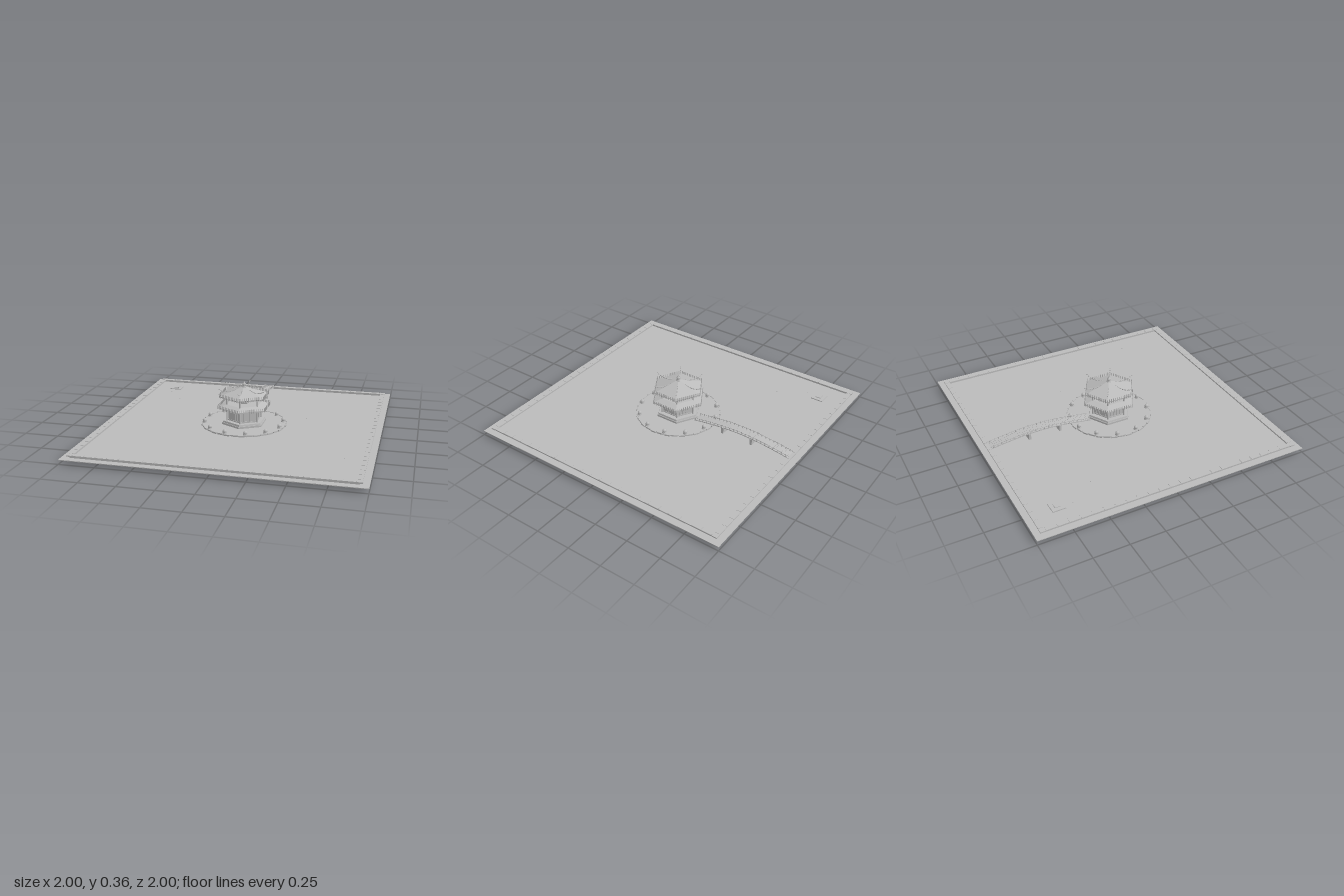
import * as THREE from 'three';

export function createModel() {
  const root = new THREE.Group();
  const stone = new THREE.MeshStandardMaterial({ color: 0xbbbbbb });
  stone.name = 'grey stone';
  const flat = (g) => { const n = g.toNonIndexed(); n.computeVertexNormals(); return n; };

  function add(name, geo, x = 0, y = 0, z = 0, parent = root) {
    const m = new THREE.Mesh(geo, stone);
    m.name = name;
    m.position.set(x, y, z);
    parent.add(m);
    return m;
  }
  const box = (name, w, h, d, x, y, z, parent) => add(name, new THREE.BoxGeometry(w, h, d), x, y, z, parent);
  // Six-sided prism or frustum with corners on the z axis
  const hex = (name, rTop, rBottom, y0, y1) =>
    add(name, flat(new THREE.CylinderGeometry(rTop, rBottom, y1 - y0, 6)), 0, (y0 + y1) / 2, 0);
  const corner = (i, r) => [r * Math.sin(i * Math.PI / 3), r * Math.cos(i * Math.PI / 3)];
  // Repeats a callback along the edges of a hexagon
  function alongHex(r, perSide, fn) {
    for (let i = 0; i < 6; i++) {
      const [ax, az] = corner(i, r), [bx, bz] = corner(i + 1, r);
      for (let k = 0; k < perSide; k++) {
        const t = k / perSide;
        fn(ax + (bx - ax) * t, az + (bz - az) * t, i * Math.PI / 3 + Math.PI / 6);
      }
    }
  }

  // Pond surface
  box('pond', 2, 0.005, 2, 0, 0.0305, 0);

  // Enclosing wall with overhanging coping
  for (const s of [-1, 1]) {
    box('sideWall', 0.02, 0.012, 1.88, s * 0.94, 0.039, 0);
    box('sideCoping', 0.034, 0.008, 1.92, s * 0.94, 0.047, 0);
    box('endWall', 1.88, 0.012, 0.02, 0, 0.039, s * 0.942);
    box('endCoping', 1.92, 0.008, 0.034, 0, 0.047, s * 0.942);
    for (let i = 0; i < 24; i++) {
      const p = -0.92 + i * 0.08;
      box('copingTile', 0.03, 0.002, 0.005, s * 0.94, 0.052, p);
      box('copingTile', 0.005, 0.002, 0.03, p, 0.052, s * 0.942);
    }
  }

  // Round island, edge stones and ball posts
  add('island', new THREE.CylinderGeometry(0.305, 0.305, 0.008, 48), 0, 0.037, 0);
  for (let i = 0; i < 36; i++) {
    const a = i * Math.PI / 18;
    const r = 0.306 + (i % 2) * 0.004;
    const m = box('edgeStone', 0.044, 0.012, 0.008, r * Math.sin(a), 0.038, r * Math.cos(a));
    m.rotation.y = a;
  }
  for (let i = 0; i < 12; i++) {
    const a = (i + 0.5) * Math.PI / 6;
    const x = 0.288 * Math.sin(a), z = 0.288 * Math.cos(a);
    add('postBase', new THREE.CylinderGeometry(0.013, 0.017, 0.014, 10), x, 0.047, z);
    add('postBall', new THREE.SphereGeometry(0.015, 10, 8), x, 0.057, z);
  }

  // Plinth and lower storey
  hex('plinthStep', 0.168, 0.168, 0.04, 0.055);
  hex('plinth', 0.158, 0.162, 0.055, 0.068);
  hex('lowerWalls', 0.122, 0.122, 0.068, 0.165);
  for (let i = 0; i < 6; i++) {
    const [x, z] = corner(i, 0.13);
    add('column', new THREE.CylinderGeometry(0.006, 0.006, 0.18, 10), x, 0.158, z);
  }
  alongHex(0.123, 5, (x, z, a) => {
    box('wallBatten', 0.004, 0.085, 0.005, x, 0.113, z).rotation.y = a;
  });
  for (const y of [0.076, 0.148]) hex('wallRail', 0.127, 0.127, y - 0.003, y + 0.003);

  // Lower roof with eave pickets
  hex('lowerEave', 0.194, 0.194, 0.162, 0.170);
  hex('lowerRoof', 0.132, 0.194, 0.170, 0.189);
  alongHex(0.199, 13, (x, z, a) => {
    box('lowerPicket', 0.005, 0.03, 0.004, x, 0.173, z).rotation.y = a;
  });

  // Altar seen between the upper columns
  box('altar', 0.06, 0.03, 0.06, 0, 0.202, 0);

  // Upper roof, pickets and corner ridges
  hex('upperBeam', 0.135, 0.135, 0.234, 0.247);
  hex('upperEave', 0.186, 0.182, 0.245, 0.252);
  add('upperRoof', flat(new THREE.ConeGeometry(0.186, 0.063, 6)), 0, 0.2835, 0);
  alongHex(0.188, 12, (x, z, a) => {
    box('upperPicket', 0.005, 0.032, 0.004, x, 0.257, z).rotation.y = a;
  });
  for (let i = 0; i < 6; i++) {
    for (let k = 0; k < 10; k++) {
      const t = k / 9;
      const [x, z] = corner(i, 0.06 + 0.128 * t);
      const y = 0.294 - 0.05 * t + 0.062 * t * t;
      box('ridgeTile', 0.006, 0.006, 0.008, x, y, z).rotation.y = i * Math.PI / 3;
    }
  }
  const finial = [[0, 0.305], [0.016, 0.307], [0.016, 0.313], [0.008, 0.318], [0.015, 0.328],
    [0.012, 0.336], [0.005, 0.34], [0.004, 0.348], [0, 0.356]];
  add('finial', new THREE.LatheGeometry(finial.map(([r, y]) => new THREE.Vector2(r, y)), 16));

  // Arched footbridge of planks with railings and piers
  const z0 = -0.17, z1 = -0.94, planks = 48;
  const arch = (t) => 0.047 + 0.038 * Math.sin(Math.PI * t);
  const step = (z1 - z0) / planks;
  for (let i = 0; i < planks; i++) {
    const t = (i + 0.5) / planks, z = z0 + step * (i + 0.5);
    const slope = Math.atan2(arch((i + 1) / planks) - arch(i / planks), step);
    const plank = box('bridgePlank', 0.072, 0.006, 0.0155, 0, arch(t), z);
    plank.rotation.x = Math.PI - slope;
    for (const s of [-1, 1]) {
      box('bridgeRail', 0.004, 0.003, 0.0165, s * 0.034, arch(t) + 0.017, z).rotation.x = Math.PI - slope;
      if (i % 2 === 0) box('railPost', 0.004, 0.022, 0.004, s * 0.034, arch(t) + 0.01, z);
    }
  }
  for (const z of [-0.41, -0.645]) box('bridgePier', 0.08, 0.08, 0.018, 0, 0.04, z);

  // Small paved pad in the back corner
  box('cornerPad', 0.092, 0.008, 0.092, -0.768, 0.036, -0.768);
  box('cornerStone', 0.04, 0.006, 0.04, -0.768, 0.042, -0.768);

  // Scattered pebbles
  const pebbles = [[-0.78, -0.66], [-0.65, -0.47], [0.43, -0.2], [0.8, 0.54]];
  for (const [x, z] of pebbles) add('pebble', new THREE.CylinderGeometry(0.004, 0.004, 0.004, 8), x, 0.034, z);

  return root;
}
